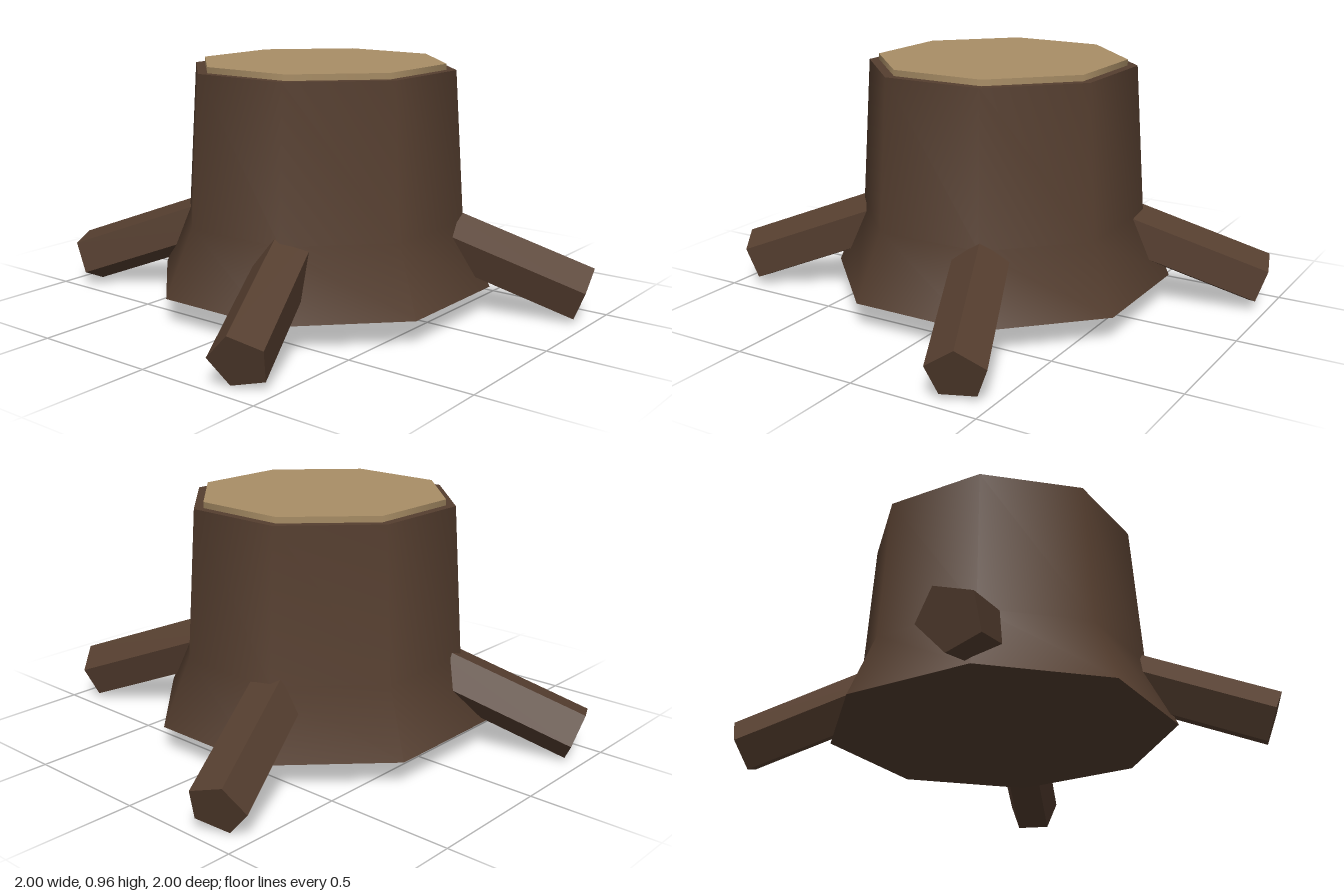
import * as THREE from 'three';

export function createModel() {
  const bark = new THREE.MeshStandardMaterial({ color: 0x553e2f });
  bark.name = 'bark brown';
  const wood = new THREE.MeshStandardMaterial({ color: 0xa98e66 });
  wood.name = 'cut wood tan';

  const model = new THREE.Group();
  model.name = 'treeStump';
  const add = (name, geometry, material, parent = model) => {
    const mesh = new THREE.Mesh(geometry, material);
    mesh.name = name;
    parent.add(mesh);
    return mesh;
  };

  const SIDES = 8, TURN = Math.PI / 8;
  const BOTTOM = 0.11, RIM = 0.95, R_BOTTOM = 0.675, R_RIM = 0.525;

  // Eight-sided trunk, smooth around, flaring towards the ground
  const trunk = new THREE.Group();
  trunk.name = 'trunk';
  trunk.position.set(-0.004, 0, -0.003);
  model.add(trunk);
  const profile = [[R_BOTTOM, BOTTOM], [0.564, 0.37], [R_RIM, RIM]]
    .map(([r, y]) => new THREE.Vector2(r, y));
  add('trunkSide', new THREE.LatheGeometry(profile, SIDES, TURN), bark, trunk);
  const rim = add('trunkRim', new THREE.CircleGeometry(R_RIM, SIDES, TURN), bark, trunk);
  rim.rotation.x = -Math.PI / 2;
  rim.position.y = RIM;
  const base = add('trunkBase', new THREE.CircleGeometry(R_BOTTOM, SIDES, TURN), bark, trunk);
  base.rotation.x = Math.PI / 2;
  base.position.y = BOTTOM;

  // Thin slab of pale wood on the cut
  const cut = add('cutTop', new THREE.CylinderGeometry(0.487, 0.487, 0.023, SIDES, 1, false, TURN), wood, trunk);
  cut.position.y = RIM + 0.0115;

  // Five-sided roots at alternate trunk corners, sloping down and each rolled differently
  const SLOPE = THREE.MathUtils.degToRad(20), LENGTH = 0.75;
  const rolls = [26, -20, 0, 14];
  rolls.forEach((roll, i) => {
    const a = -Math.PI * 0.625 + i * Math.PI / 2;
    const out = new THREE.Vector3(Math.cos(a), 0, Math.sin(a));
    const side = new THREE.Vector3(-Math.sin(a), 0, Math.cos(a));
    const along = out.clone().multiplyScalar(Math.cos(SLOPE)).setY(-Math.sin(SLOPE));
    const up = out.clone().multiplyScalar(Math.sin(SLOPE)).setY(Math.cos(SLOPE));
    const tip = out.clone().multiplyScalar(1.028).setY(0.11);

    const geometry = new THREE.CylinderGeometry(
      0.11, 0.11, LENGTH, 5, 1, false, THREE.MathUtils.degToRad(roll)).toNonIndexed();
    geometry.computeVertexNormals();
    geometry.translate(0, -LENGTH / 2, 0);
    geometry.applyMatrix4(new THREE.Matrix4().makeBasis(side, along, up).setPosition(tip));
    add('root' + (i + 1), geometry, bark);
  });

  return model;
}
